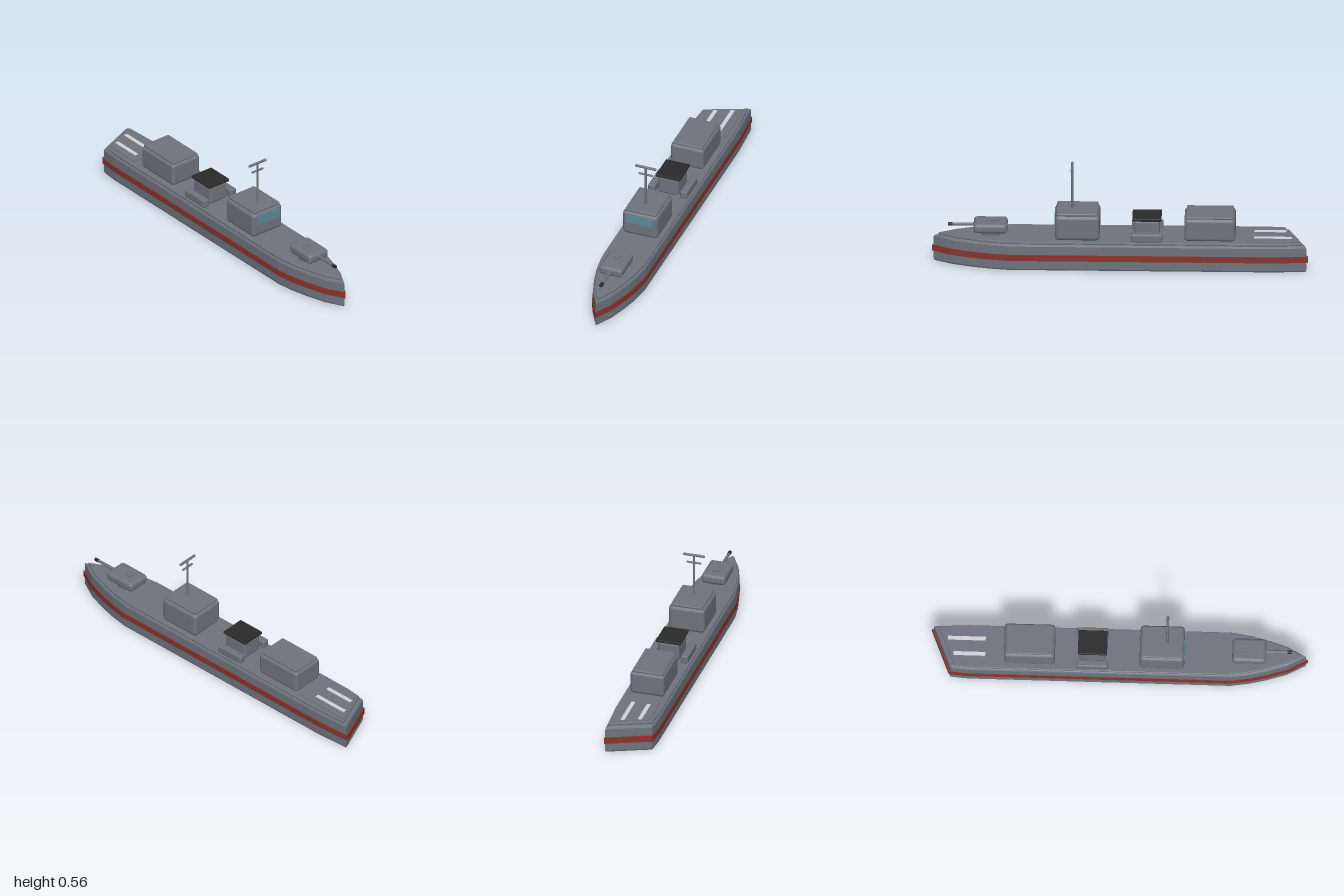
import * as THREE from 'three';
import { RoundedBoxGeometry } from 'three/addons/geometries/RoundedBoxGeometry.js';

function material(name, color) {
  const m = new THREE.MeshStandardMaterial({ color });
  m.name = name;
  return m;
}

// Plan of the hull as [x, z]: pointed bow, straight sides, slanted stern.
const PLAN = [
  [0, 0.99], [0.055, 0.89], [0.09, 0.78], [0.112, 0.69], [0.127, 0.59],
  [0.127, -0.8], [0.115, -0.99], [-0.119, -0.895], [-0.127, -0.8],
  [-0.127, 0.59], [-0.112, 0.69], [-0.09, 0.78], [-0.055, 0.89],
];

// Plate or solid with a plan outline, from y0 to y1, with bevelled rims.
function slab(points, y0, y1, bevel) {
  const shape = new THREE.Shape(points.map(([x, z]) => new THREE.Vector2(x, -z)));
  const geo = new THREE.ExtrudeGeometry(shape, {
    depth: y1 - y0 - 2 * bevel,
    bevelEnabled: bevel > 0,
    bevelThickness: bevel,
    bevelSize: bevel,
    bevelOffset: -bevel,
    bevelSegments: 2,
  });
  geo.rotateX(-Math.PI / 2);
  geo.translate(0, y0 + bevel, 0);
  return geo;
}

export function createModel() {
  const ship = new THREE.Group();
  ship.name = 'warship';
  const grey = material('hull grey', 0x6e747f);
  const red = material('stripe red', 0x8b342c);
  const black = material('funnel black', 0x2a2a2a);
  const glass = material('window blue', 0x5c8c9a);
  const white = material('marking white', 0xd4d4d4);

  const add = (name, geo, mat, x = 0, y = 0, z = 0) => {
    const mesh = new THREE.Mesh(geo, mat);
    mesh.name = name;
    mesh.position.set(x, y, z);
    ship.add(mesh);
    return mesh;
  };
  // Rounded block given by its extents.
  const block = (name, mat, [x0, x1], [y0, y1], [z0, z1], radius) =>
    add(name, new RoundedBoxGeometry(x1 - x0, y1 - y0, z1 - z0, 2, radius), mat,
      (x0 + x1) / 2, (y0 + y1) / 2, (z0 + z1) / 2);

  // Hull, red band and deck
  const scaled = (sx, sz) => PLAN.map(([x, z]) => [x * sx, z * sz]);
  add('hull', slab(PLAN, 0, 0.152, 0.012), grey);
  add('hullBand', slab(scaled(1.024, 1.01), 0.058, 0.092, 0), red);
  add('deck', slab(scaled(0.945, 0.975), 0.15, 0.164, 0.004), grey);

  // Landing deck with two white stripes
  add('landingDeck', slab([[-0.095, -0.67], [0.095, -0.67], [0.095, -0.95], [-0.095, -0.87]],
    0.162, 0.168, 0), grey);
  for (const [x, end] of [[-0.043, -0.88], [0.043, -0.912]]) {
    add('landingStripe', new THREE.BoxGeometry(0.021, 0.004, -0.712 - end), white,
      x, 0.169, (end - 0.712) / 2);
  }

  // Bridge with roof and front window
  block('bridge', grey, [-0.1, 0.1], [0.162, 0.302], [0.108, 0.345], 0.02);
  block('bridgeRoof', grey, [-0.088, 0.088], [0.3, 0.314], [0.118, 0.336], 0.005);
  add('bridgeWindow', new THREE.BoxGeometry(0.154, 0.047, 0.006), glass, 0, 0.26, 0.345);

  // Mast with two crossbars
  add('mast', new THREE.CylinderGeometry(0.006, 0.006, 0.24, 10), grey, 0, 0.43, 0.255);
  for (const [y, half, r] of [[0.549, 0.061, 0.007], [0.504, 0.041, 0.0055]]) {
    const bar = add('mastCrossbar', new THREE.CapsuleGeometry(r, 2 * (half - r), 3, 8), grey, 0, y, 0.255);
    bar.rotation.z = Math.PI / 2;
  }

  // Funnel, black cap and lockers on both sides
  block('funnel', grey, [-0.058, 0.058], [0.162, 0.264], [-0.211, -0.073], 0.012);
  block('funnelCap', black, [-0.068, 0.068], [0.264, 0.279], [-0.22, -0.065], 0.004);
  for (const s of [-1, 1]) {
    block('sideLocker', grey, [s * 0.091 - 0.02, s * 0.091 + 0.02], [0.162, 0.207], [-0.226, -0.06], 0.008);
  }

  // Hangar
  block('hangar', grey, [-0.094, 0.094], [0.162, 0.289], [-0.612, -0.342], 0.018);
  block('hangarRoof', grey, [-0.084, 0.084], [0.286, 0.299], [-0.602, -0.352], 0.005);

  // Gun turret
  add('turretBase', new THREE.CylinderGeometry(0.053, 0.053, 0.03, 16), grey, 0, 0.174, 0.685);
  block('turret', grey, [-0.066, 0.066], [0.183, 0.236], [0.598, 0.778], 0.018);
  add('turretHatch', new THREE.CylinderGeometry(0.019, 0.019, 0.012, 12), grey, 0, 0.237, 0.665);
  const barrel = add('gunBarrel', new THREE.CylinderGeometry(0.008, 0.009, 0.14, 10), grey, 0, 0.213, 0.83);
  const muzzle = add('gunMuzzle', new THREE.CylinderGeometry(0.0095, 0.0095, 0.024, 10), black, 0, 0.213, 0.903);
  barrel.rotation.x = muzzle.rotation.x = Math.PI / 2;

  return ship;
}
